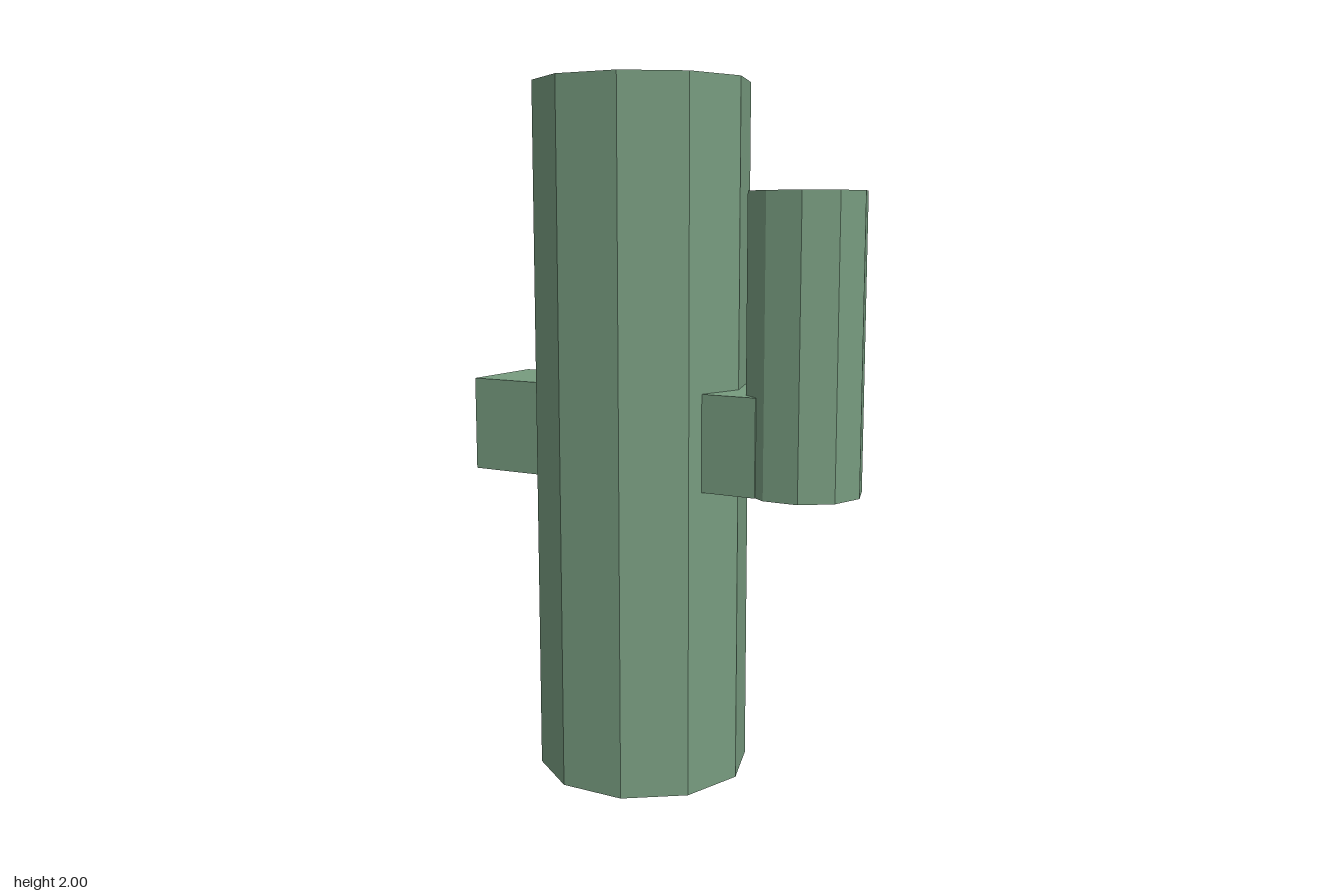
import * as THREE from 'three';

export function createModel() {
  const group = new THREE.Group();
  group.name = 'cactus';
  const green = new THREE.MeshStandardMaterial({ color: 0x779b7f, flatShading: true });
  green.name = 'cactus green';
  const brown = new THREE.MeshStandardMaterial({ color: 0x99766a, flatShading: true });
  brown.name = 'root brown';

  const add = (name, geometry, material) => {
    const mesh = new THREE.Mesh(geometry, material);
    mesh.name = name;
    group.add(mesh);
  };
  // Ten-sided column with corners on the x axis
  const column = (x, radius, y0, y1) =>
    new THREE.CylinderGeometry(radius, radius, y1 - y0, 10)
      .rotateY(Math.PI / 2)
      .translate(x, (y0 + y1) / 2, 0);
  // Square branch running sideways out of the trunk
  const branch = (x0, x1) =>
    new THREE.BoxGeometry(x1 - x0, 0.274, 0.274).translate((x0 + x1) / 2, 1.008, -0.001);

  add('trunk', column(-0.088, 0.31, 0.002, 2), green);
  add('rightBranch', branch(-0.593, -0.1), green);
  add('leftBranch', branch(-0.1, 0.34), green);
  add('leftArm', column(0.425, 0.164, 0.871, 1.692), green);

  // Root core showing under the trunk
  add('rootCore', column(-0.088, 0.15, 0, 0.008), brown);
  return group;
}
